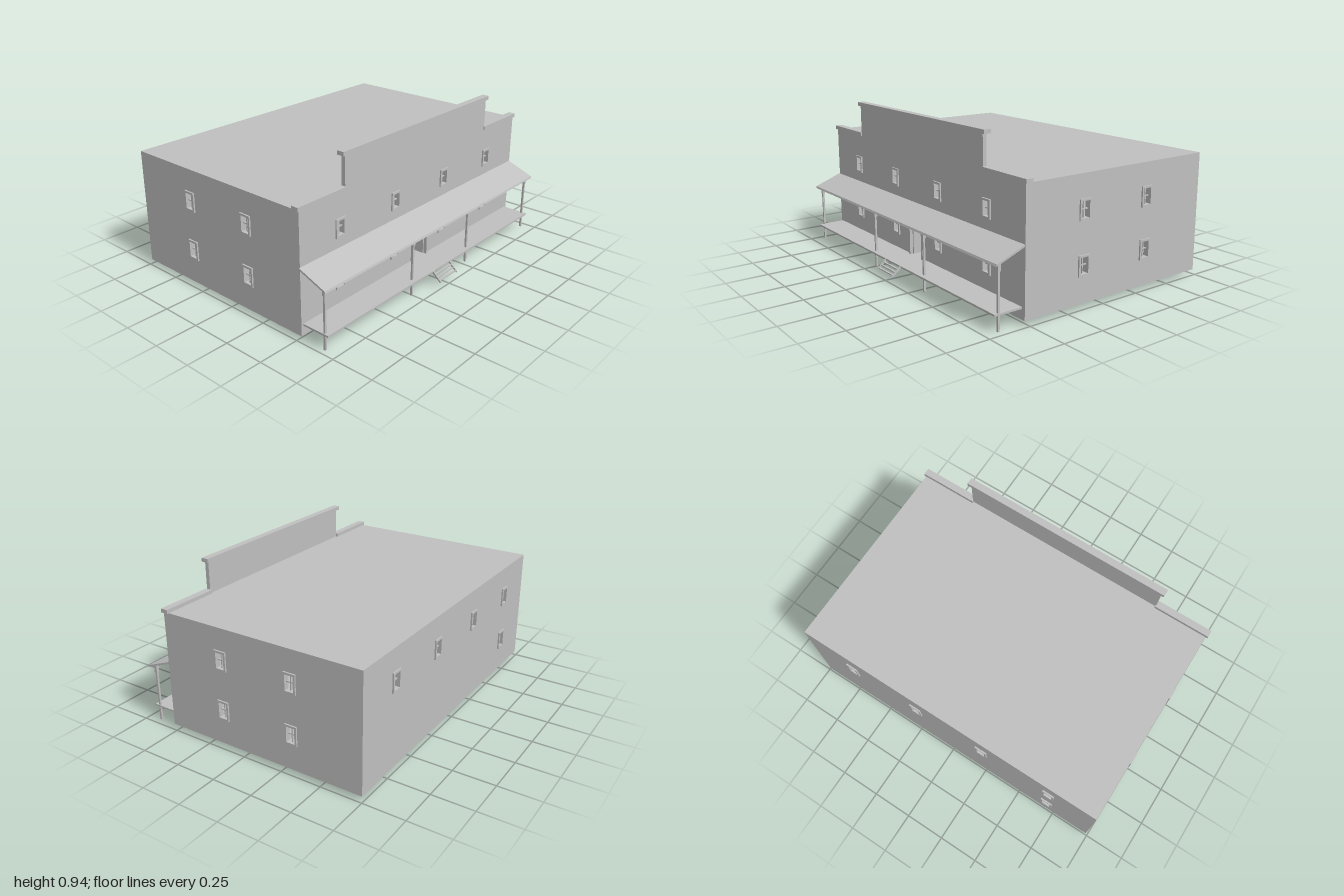
import * as THREE from 'three';

const grey = new THREE.MeshStandardMaterial({ color: 0xc0c0c0 });
grey.name = 'plain grey';

const XW = 0.988, ZF = 0.526, ZB = -0.745; // outer wall faces
const Y0 = 0.03, YR = 0.728, T = 0.024;    // base, roof top, wall thickness

function add(parent, geometry, name) {
  const mesh = new THREE.Mesh(geometry, grey);
  mesh.name = name;
  parent.add(mesh);
  return mesh;
}

// Box given by its minimum and maximum on each axis
function box(parent, name, x0, x1, y0, y1, z0, z1) {
  const g = new THREE.BoxGeometry(x1 - x0, y1 - y0, z1 - z0);
  g.translate((x0 + x1) / 2, (y0 + y1) / 2, (z0 + z1) / 2);
  return add(parent, g, name);
}

// Frame with crossed glazing bars, in the plane of a wall whose outer face is z = 0
function addWindow(parent, x, y, w, h) {
  const win = new THREE.Group();
  win.name = 'window';
  win.position.set(x, y, 0);
  const a = w / 2, b = h / 2, f = 0.012, m = 0.003;
  for (const s of [-1, 1]) {
    const jamb = s * (a - f / 2), rail = s * (b - f / 2);
    box(win, 'windowJamb', jamb - f / 2, jamb + f / 2, -b, b, -T - 0.002, 0.009);
    box(win, 'windowRail', -a + f, a - f, rail - f / 2, rail + f / 2, -T - 0.002, 0.009);
  }
  box(win, 'verticalBar', -m, m, -b + f, b - f, -0.015, -0.008);
  box(win, 'crossBar', -a + f, a - f, -m, m, -0.016, -0.007);
  parent.add(win);
}

// Wall extruded from an outline, pierced by windows and optional openings
function addWall(parent, name, outline, windows, w, h, openings = []) {
  const wall = new THREE.Group();
  wall.name = name;
  const shape = new THREE.Shape(outline.map(([x, y]) => new THREE.Vector2(x, y)));
  const holes = windows.map(([x, y]) => [x - w / 2 + 0.004, x + w / 2 - 0.004, y - h / 2 + 0.004, y + h / 2 - 0.004]);
  for (const [x0, x1, y0, y1] of holes.concat(openings)) {
    shape.holes.push(new THREE.Path([[x0, y0], [x0, y1], [x1, y1], [x1, y0]].map(p => new THREE.Vector2(...p))));
  }
  const g = new THREE.ExtrudeGeometry(shape, { depth: T, bevelEnabled: false });
  g.translate(0, 0, -T);
  add(wall, g, name + 'Panel');
  for (const [x, y] of windows) addWindow(wall, x, y, w, h);
  parent.add(wall);
  return wall;
}

// Prism along x from a side profile of [z, y] points
function prismX(parent, name, profile, x0, x1) {
  const shape = new THREE.Shape(profile.map(([z, y]) => new THREE.Vector2(-z, y)));
  const g = new THREE.ExtrudeGeometry(shape, { depth: x1 - x0, bevelEnabled: false });
  g.rotateY(Math.PI / 2);
  g.translate(x0, 0, 0);
  return add(parent, g, name);
}

export function createModel() {
  const model = new THREE.Group();
  model.name = 'falseFrontBuilding';
  const cols = [-0.692, -0.237, 0.22, 0.676];
  const top = YR - T, upper = 0.538, lower = 0.239;

  // Front wall with stepped false front and doorway
  const front = addWall(model, 'frontWall',
    [[-XW, Y0], [XW, Y0], [XW, YR], [0.643, YR], [0.643, 0.92], [-0.652, 0.92], [-0.652, YR], [-XW, YR]],
    cols.flatMap(x => [[x, upper], [x, lower]]), 0.072, 0.106, [[-0.068, 0.058, 0.098, 0.288]]);
  front.position.z = ZF;

  // Back wall: a row upstairs and one window downstairs
  const back = addWall(model, 'backWall', [[-XW, Y0], [XW, Y0], [XW, top], [-XW, top]],
    [...cols.map(x => [-x, upper]), [0.692, lower]], 0.075, 0.115);
  back.position.z = ZB;
  back.rotation.y = Math.PI;

  // Side walls fitted between front and back
  for (const s of [1, -1]) {
    const ends = [-s * (ZF - T), -s * (ZB + T)].sort((a, b) => a - b);
    const side = addWall(model, s > 0 ? 'leftWall' : 'rightWall',
      [[ends[0], Y0], [ends[1], Y0], [ends[1], top], [ends[0], top]],
      [0.138, -0.315].flatMap(z => [[-s * z, upper], [-s * z, lower]]), 0.076, 0.116);
    side.position.x = s * XW;
    side.rotation.y = s * Math.PI / 2;
  }

  // Roof, floors and inner partition
  const xi = XW - T, zf = ZF - T, zb = ZB + T;
  box(model, 'roof', -XW, XW, top, YR, ZB, zf);
  box(model, 'groundFloor', -xi, xi, 0.083, 0.097, zb, zf);
  box(model, 'upperFloor', -xi, xi, 0.38, 0.4, zb, zf);
  box(model, 'partition', -xi, xi, 0.097, 0.38, -0.09, -0.075);

  // Cornices
  box(model, 'highCornice', -0.672, 0.662, 0.918, 0.941, 0.49, 0.533);
  box(model, 'lowCorniceRight', -1, -0.648, 0.727, 0.75, 0.49, 0.533);
  box(model, 'lowCorniceLeft', 0.639, 1, 0.727, 0.75, 0.49, 0.533);

  // Door frame and the two leaves standing open inwards
  const z0 = ZF - T, z1 = 0.54;
  box(model, 'doorJamb', -0.078, -0.066, 0.098, 0.3, z0, z1);
  box(model, 'doorJamb', 0.056, 0.068, 0.098, 0.3, z0, z1);
  box(model, 'doorLintel', -0.066, 0.056, 0.288, 0.3, z0, z1);
  for (const s of [-1, 1]) {
    const x = -0.005 + s * 0.057;
    box(model, 'doorLeaf', x - 0.004, x + 0.004, 0.1, 0.287, 0.455, 0.52);
    const hx = x - s * 0.007;
    box(model, 'doorHandle', hx - 0.003, hx + 0.003, 0.145, 0.235, 0.463, 0.469);
  }

  // Porch roof, deck and posts
  prismX(model, 'porchRoof', [[ZF, 0.424], [ZF, 0.412], [0.7, 0.346], [0.696, 0.358]], -0.995, 0.985);
  box(model, 'porchDeck', -0.975, 0.965, 0.087, 0.098, ZF, 0.695);
  for (const x of [-0.963, -0.25, 0.289, 0.955]) {
    box(model, 'porchPost', x - 0.006, x + 0.006, 0, 0.352, 0.66, 0.672);
    box(model, 'postCap', x - 0.009, x + 0.009, 0.31, 0.352, 0.657, 0.675);
  }
  box(model, 'porchBeam', -0.969, 0.961, 0.346, 0.358, 0.66, 0.672);

  // Steps: two sloping strings with thin treads
  const slope = [[0.69, 0.098], [0.69, 0.084], [0.746, 0.038], [0.75, 0.047], [0.695, 0.098]];
  prismX(model, 'stepString', slope, -0.09, -0.083);
  prismX(model, 'stepString', slope, 0.073, 0.08);
  for (let i = 0; i < 3; i++) {
    const y = 0.078 - i * 0.0145, z = 0.706 + i * 0.016;
    box(model, 'stepTread', -0.083, 0.073, y - 0.003, y + 0.003, z - 0.006, z + 0.006);
  }
  return model;
}
